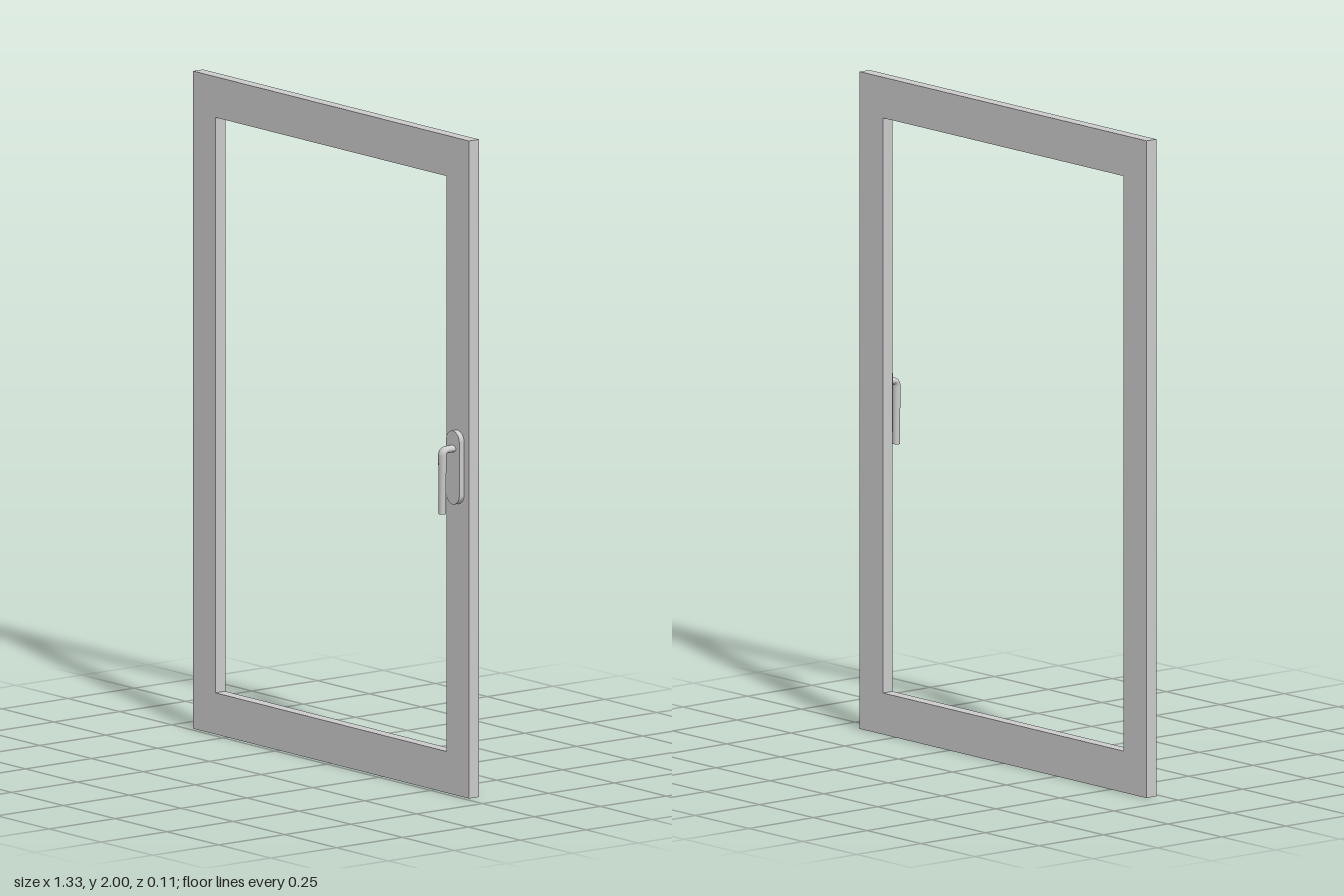
import * as THREE from 'three';

const material = new THREE.MeshStandardMaterial({ color: 0xcccccc });

function add(group, name, geometry, x = 0, y = 0, z = 0) {
  const mesh = new THREE.Mesh(geometry, material);
  mesh.name = name;
  mesh.position.set(x, y, z);
  group.add(mesh);
  return mesh;
}

// Closed rectangle path, counter-clockwise
function rectangle(path, x, y0, y1) {
  path.moveTo(-x, y0);
  path.lineTo(x, y0);
  path.lineTo(x, y1);
  path.lineTo(-x, y1);
  path.closePath();
  return path;
}

// Upright plate outline with fully rounded ends
function stadium(r, halfHeight) {
  const s = new THREE.Shape();
  s.absarc(0, halfHeight - r, r, 0, Math.PI);
  s.absarc(0, r - halfHeight, r, Math.PI, Math.PI * 2);
  s.closePath();
  return s;
}

export function createModel() {
  const model = new THREE.Group();
  model.name = 'windowSash';

  // Rectangular frame with an open middle
  const outline = rectangle(new THREE.Shape(), 0.666, 0, 2);
  outline.holes.push(rectangle(new THREE.Path(), 0.558, 0.126, 1.876));
  add(model, 'frame', new THREE.ExtrudeGeometry(outline, { depth: 0.038, bevelEnabled: false }), 0, 0, -0.053);

  const handle = new THREE.Group();
  handle.name = 'handle';
  handle.position.set(0.61, 0, 0);
  model.add(handle);

  // Mounting plate
  add(handle, 'handlePlate', new THREE.ExtrudeGeometry(stadium(0.032, 0.112),
    { depth: 0.018, bevelEnabled: false, curveSegments: 16 }), 0, 1, -0.015);

  // Shank and lever: one bent bar with an oval section, narrowing downwards
  const radius = 0.0105;
  const zLever = 0.0425, yShank = 1.058, yEnd = 0.864, bend = 0.018;
  const path = new THREE.CurvePath();
  const a = new THREE.Vector3(0, yShank, 0);
  const b = new THREE.Vector3(0, yShank, zLever - bend);
  const c = new THREE.Vector3(0, yShank - bend, zLever);
  path.add(new THREE.LineCurve3(a, b));
  path.add(new THREE.QuadraticBezierCurve3(b, new THREE.Vector3(0, yShank, zLever), c));
  path.add(new THREE.LineCurve3(c, new THREE.Vector3(0, yEnd, zLever)));
  const widthAt = y => 1.1 + 0.35 * THREE.MathUtils.clamp((y - yEnd) / (yShank - yEnd), 0, 1);
  const bar = new THREE.TubeGeometry(path, 64, radius, 20, false);
  const p = bar.attributes.position;
  for (let i = 0; i < p.count; i++) p.setX(i, p.getX(i) * widthAt(p.getY(i)));
  bar.computeVertexNormals();
  add(handle, 'lever', bar);

  // Flat cap on the lower end of the lever
  const cap = new THREE.CircleGeometry(radius, 20).rotateX(Math.PI / 2).scale(widthAt(yEnd), 1, 1);
  add(handle, 'leverEnd', cap, 0, yEnd, zLever);

  return model;
}
